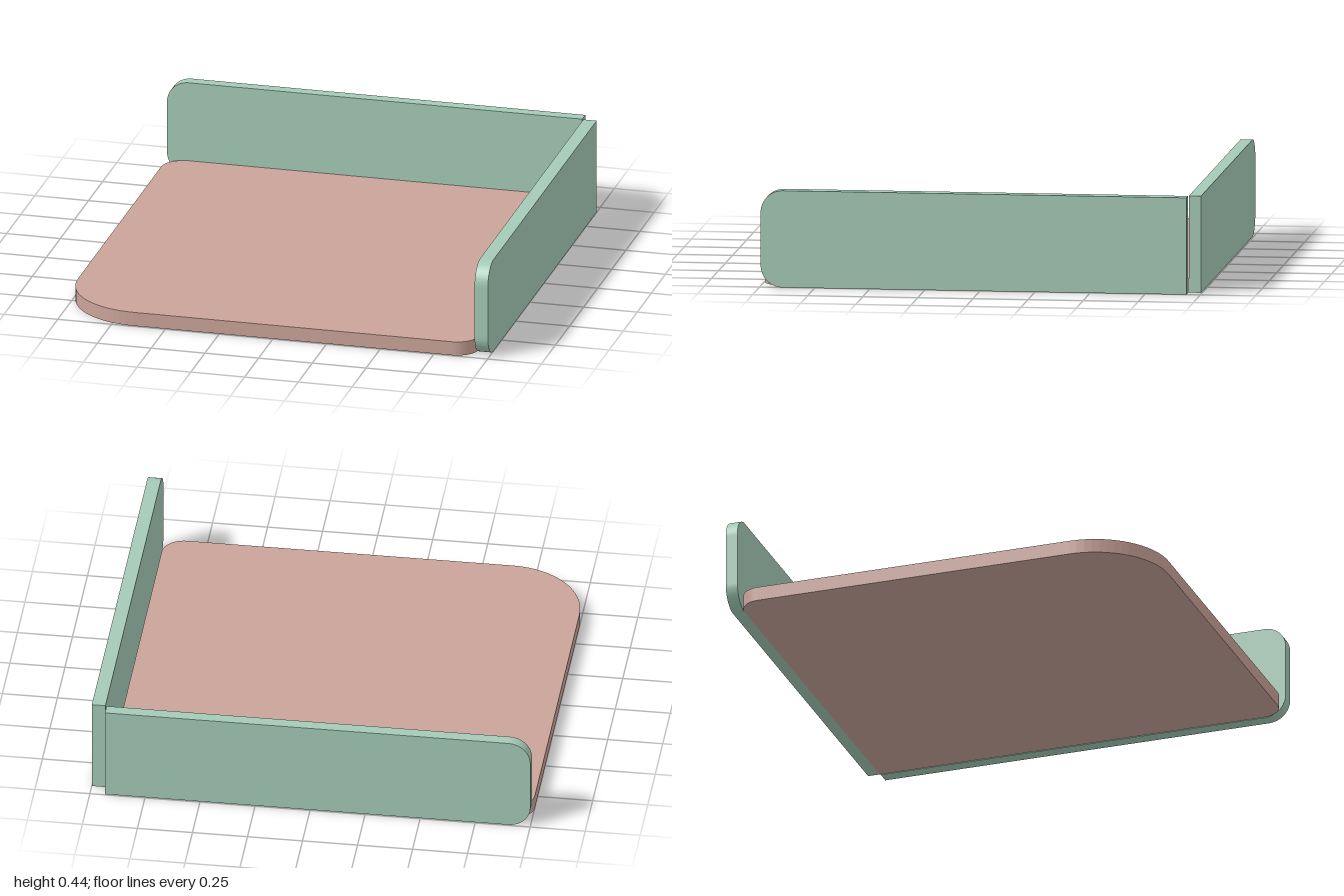
import * as THREE from 'three';

// Rectangle outline with its own radius at each corner: [lower left, lower right, upper right, upper left]
function roundedRect(x0, y0, x1, y1, [ll, lr, ur, ul]) {
  const s = new THREE.Shape();
  const corner = (x, y, r, start) => {
    if (r > 0) s.absarc(x, y, r, start, start + Math.PI / 2, false);
    else s.lineTo(x, y);
  };
  s.moveTo(x0, y0 + ll);
  corner(x0 + ll, y0 + ll, ll, Math.PI);
  corner(x1 - lr, y0 + lr, lr, Math.PI * 1.5);
  corner(x1 - ur, y1 - ur, ur, 0);
  corner(x0 + ul, y1 - ul, ul, Math.PI / 2);
  s.closePath();
  return s;
}

function plate(name, shape, depth, material) {
  const geometry = new THREE.ExtrudeGeometry(shape, { depth, bevelEnabled: false, curveSegments: 8 });
  const mesh = new THREE.Mesh(geometry, material);
  mesh.name = name;
  return mesh;
}

export function createModel() {
  const group = new THREE.Group();
  group.name = 'corneredTray';
  const pink = new THREE.MeshStandardMaterial({ name: 'dusty pink', color: 0xc9a398 });
  const green = new THREE.MeshStandardMaterial({ name: 'sage green', color: 0xa4cab6 });
  const height = 0.44, r = 0.1;

  // Base slab: large round at the open front corner, square at the back right
  const base = plate('baseSlab', roundedRect(-1, -0.994, 0.932, 0.94, [0.35, r, 0, r]), 0.065, pink);
  base.rotation.x = -Math.PI / 2;

  // Back board, rounded at its free end
  const back = plate('backBoard', roundedRect(-1, 0, 0.932, height, [r, 0, 0, r]), 0.055, green);
  back.position.z = -0.995;

  // Side board, rounded at its front end; shape x runs towards the back
  const side = plate('sideBoard', roundedRect(-0.995, 0, 0.937, height, [r, 0, 0, r]), 0.062, green);
  side.rotation.y = Math.PI / 2;
  side.position.x = 0.938;

  group.add(base, back, side);
  return group;
}
